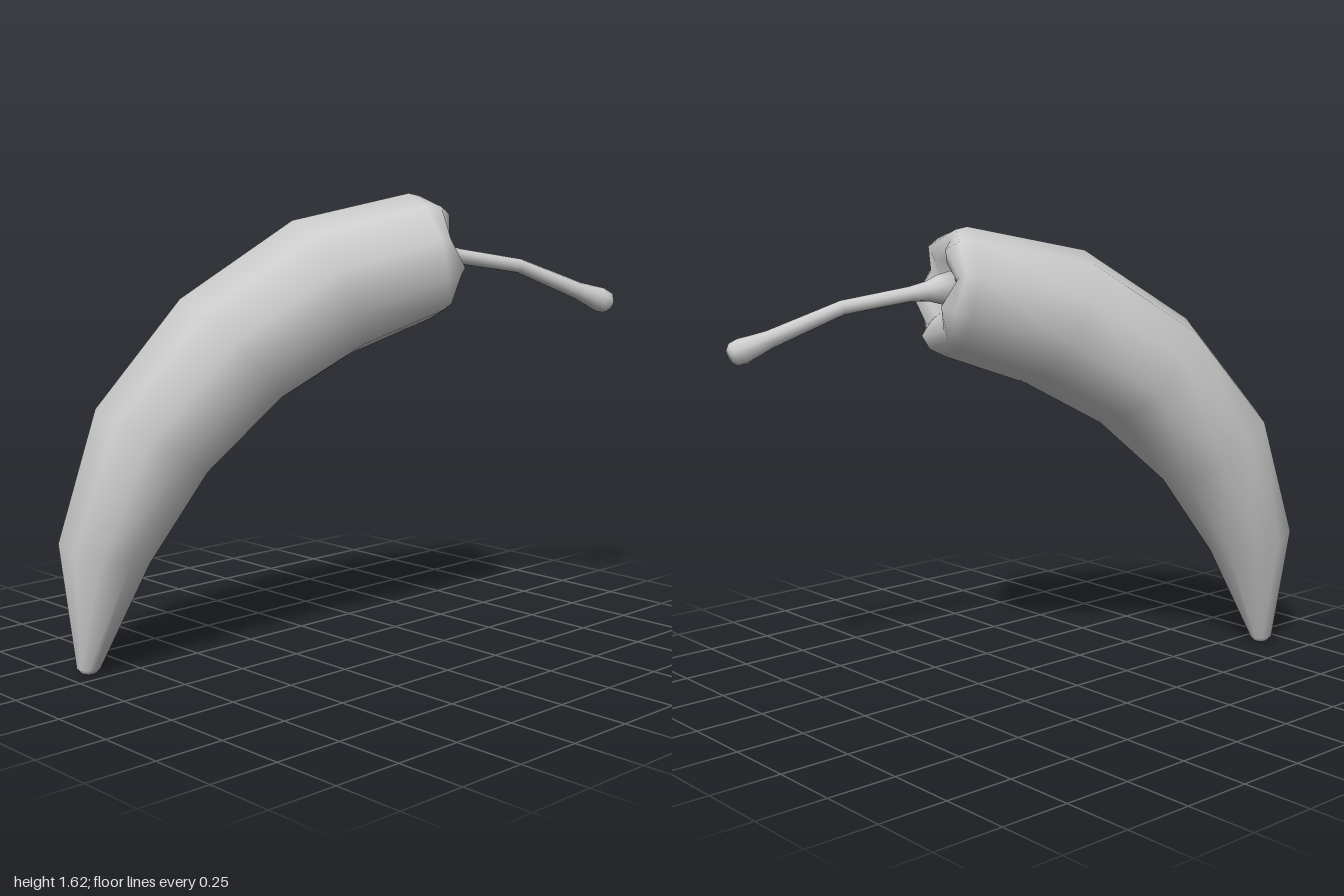
import * as THREE from 'three';

// Closed skin over rings [x, y, tilt, radius, lobeHeight]; the rings lie in the
// bend plane and face along their tilt angle.
function loft(name, rings, sides, material) {
  const pos = [], idx = [];
  for (const [x, y, tilt, r, lobe = 0] of rings) {
    const c = Math.cos(tilt), s = Math.sin(tilt);
    for (let j = 0; j < sides; j++) {
      const a = (j / sides) * Math.PI * 2;
      const up = r * Math.cos(a), along = lobe * Math.cos(5 * (a - Math.PI));
      pos.push(x - s * up + c * along, y + c * up + s * along, r * Math.sin(a));
    }
  }
  for (let i = 0; i < rings.length - 1; i++) {
    for (let j = 0; j < sides; j++) {
      const k = (j + 1) % sides;
      const a = i * sides + j, b = i * sides + k;
      idx.push(a, b, b + sides, a, b + sides, a + sides);
    }
  }
  // close both ends
  const first = rings[0], last = rings[rings.length - 1];
  const n = rings.length * sides, top = n - sides;
  pos.push(first[0], first[1], 0, last[0], last[1], 0);
  for (let j = 0; j < sides; j++) {
    const k = (j + 1) % sides;
    idx.push(n, k, j, n + 1, top + j, top + k);
  }
  const g = new THREE.BufferGeometry();
  g.setAttribute('position', new THREE.Float32BufferAttribute(pos, 3));
  g.setIndex(idx);
  g.computeVertexNormals();
  const mesh = new THREE.Mesh(g, material);
  mesh.name = name;
  return mesh;
}

export function createModel() {
  const material = new THREE.MeshStandardMaterial({ color: 0xcccccc });
  const pepper = new THREE.Group();
  pepper.name = 'chiliPepper';

  // curved flesh, from the pointed tip to the shoulder
  const rings = [
    [-0.976, 0, 1.57, 0.025],
    [-0.976, 0.018, 1.57, 0.042],
    [-0.91, 0.42, 1.326, 0.165],
    [-0.74, 0.79, 1.015, 0.227],
    [-0.462, 1.085, 0.747, 0.252],
    [-0.113, 1.295, 0.447, 0.26],
  ];
  // shoulder, lobed rim and the dimple around the stem: [along axis, radius, lobe height]
  const tilt = 0.187;
  const crown = [
    [0, 0.229, 0], [0.05, 0.212, 0.01], [0.075, 0.17, 0.022],
    [0.055, 0.115, 0.018], [0.02, 0.06, 0.005],
  ];
  for (const [s, r, lobe] of crown) {
    rings.push([0.258 + s * Math.cos(tilt), 1.395 + s * Math.sin(tilt), tilt, r, lobe]);
  }
  pepper.add(loft('flesh', rings, 10, material));

  // drooping stem with a flared base and a rounded knob
  pepper.add(loft('stem', [
    [0.275, 1.405, -0.05, 0.065],
    [0.325, 1.405, -0.1, 0.05],
    [0.365, 1.4, -0.13, 0.035],
    [0.425, 1.392, -0.15, 0.027],
    [0.665, 1.353, -0.26, 0.026],
    [0.915, 1.255, -0.38, 0.032],
    [0.965, 1.236, -0.38, 0.039],
    [1.01, 1.219, -0.38, 0.046],
    [1.04, 1.208, -0.38, 0.042],
    [1.055, 1.202, -0.38, 0.025],
  ], 10, material));

  // turn the bend plane toward the front
  pepper.rotation.y = -0.372;
  pepper.position.z = 0.026;

  const group = new THREE.Group();
  group.add(pepper);
  return group;
}
